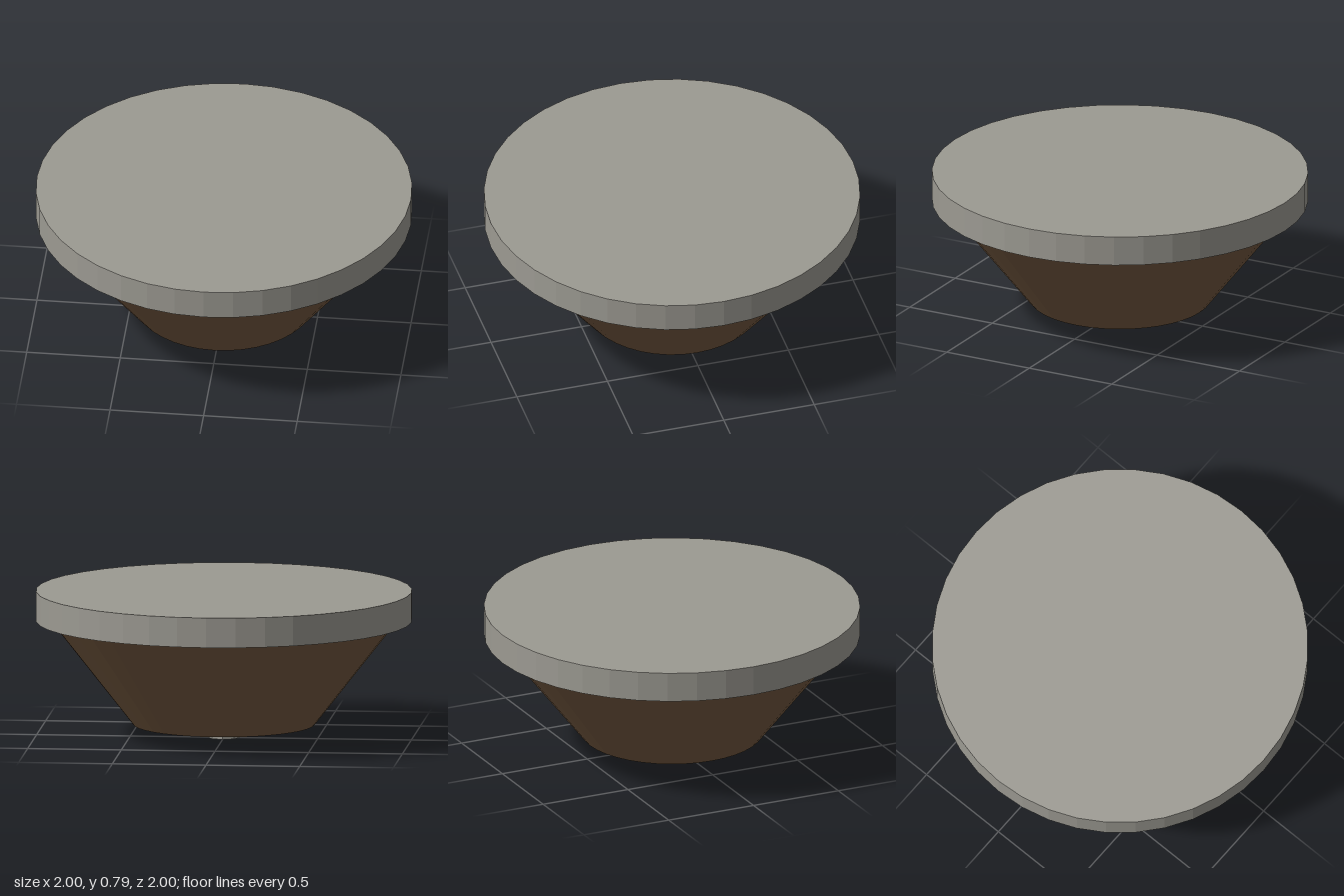
import * as THREE from 'three';

const SIDES = 40;

// Faceted round part spanning bottomY..topY
function addRound(group, name, color, topRadius, bottomRadius, bottomY, topY, sides) {
  const geometry = new THREE.CylinderGeometry(topRadius, bottomRadius, topY - bottomY, sides);
  const material = new THREE.MeshStandardMaterial({ color, flatShading: true });
  const mesh = new THREE.Mesh(geometry, material);
  mesh.name = name;
  mesh.position.y = (bottomY + topY) / 2;
  group.add(mesh);
}

export function createModel() {
  const model = new THREE.Group();
  model.name = 'taperedDisc';

  // Wide flat disc on top
  addRound(model, 'topDisc', 0x9c9a92, 1, 1, 0.63, 0.79, SIDES);
  // Brown body narrowing downward
  addRound(model, 'taperedBody', 0x775b41, 0.92, 0.483, 0.073, 0.63, SIDES);
  // Small eight-sided peg underneath
  addRound(model, 'bottomPeg', 0x9c9a92, 0.084, 0.084, 0, 0.073, 8);

  return model;
}
